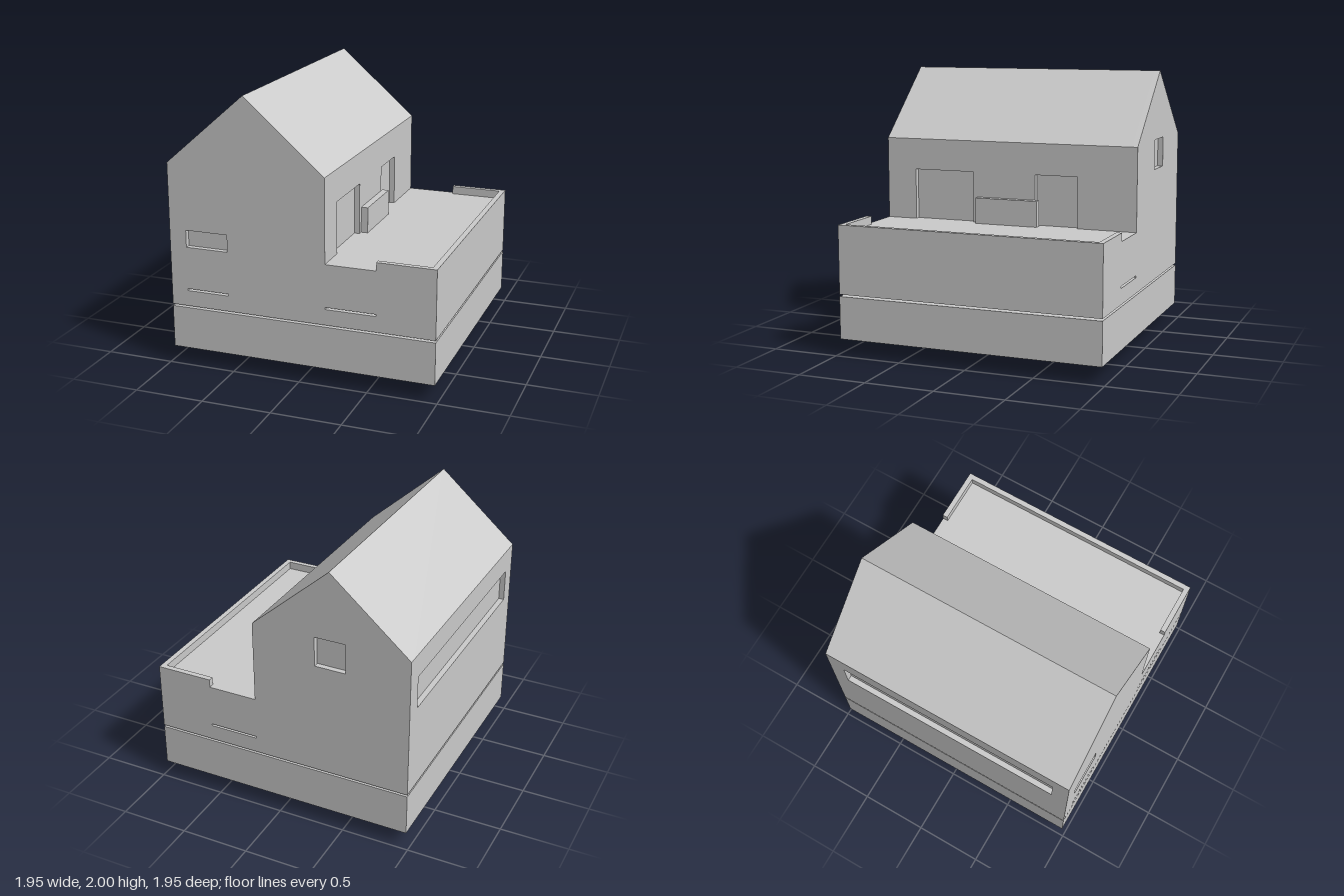
import * as THREE from 'three';

const H = 0.975;         // half of the square footprint
const T = 0.04;          // wall thickness, also the depth of window recesses
const IN = H - T;
const BASE = 0.445, FLOOR = 0.885, PARAPET = 0.945, EAVE = 1.49, TOP = 2;
const RIDGE_X = -0.39, WALL_X = 0.19, GAP_X = 0.555;

const material = new THREE.MeshStandardMaterial({ color: 0xcccccc, flatShading: true });

const points = (list) => list.map(([x, y]) => new THREE.Vector2(x, y));
const rect = ([x0, x1, y0, y1]) => new THREE.Path(points([[x0, y0], [x0, y1], [x1, y1], [x1, y0]]));

// Plate cut from an outline, with rectangular openings [x0, x1, y0, y1]
function plate(outline, openings, depth) {
  const shape = new THREE.Shape(points(outline));
  shape.holes = openings.map(rect);
  return new THREE.ExtrudeGeometry(shape, { depth, bevelEnabled: false });
}

export function createModel() {
  const group = new THREE.Group();

  const add = (name, geometry) => {
    const mesh = new THREE.Mesh(geometry, material);
    mesh.name = name;
    group.add(mesh);
  };
  const box = (name, x0, x1, y0, y1, z0, z1) => add(name,
    new THREE.BoxGeometry(x1 - x0, y1 - y0, z1 - z0)
      .translate((x0 + x1) / 2, (y0 + y1) / 2, (z0 + z1) / 2));

  // Lower storey with its connecting pegs
  box('bottomPeg', -0.24, 0.24, 0, 0.12, -0.24, 0.24);
  box('lowerBlock', -H, H, 0.12, 0.43, -H, H);
  box('joiningPeg', -0.24, 0.24, 0.43, BASE, -0.24, 0.24);

  // Solid core carrying the gable roof and terrace floor, with a slot right through
  const slot = [WALL_X, GAP_X, 0.56, 0.575];
  const core = [
    [-IN, BASE], [H, BASE], [H, FLOOR], [WALL_X - T, FLOOR], [WALL_X - T, EAVE],
    [WALL_X, EAVE], [RIDGE_X, TOP], [-H, EAVE], [-IN, EAVE],
  ];
  add('roofAndCore', plate(core, [slot], 2 * IN).translate(0, 0, -IN));

  // Gable ends, each continuing into the low terrace parapet
  const gable = [
    [-H, BASE], [H, BASE], [H, PARAPET], [GAP_X, PARAPET], [GAP_X, FLOOR],
    [WALL_X, FLOOR], [WALL_X, EAVE], [RIDGE_X, TOP], [-H, EAVE],
  ];
  const frontOpenings = [slot, [-0.85, -0.535, FLOOR, 1.01], [-0.85, -0.535, 0.56, 0.575]];
  const backOpenings = [slot, [-0.51, -0.28, 1.28, 1.5]];
  add('frontGable', plate(gable, frontOpenings, T).translate(0, 0, IN));
  add('backGable', plate(gable, backOpenings, T).translate(0, 0, -H));

  // Long side wall with a ribbon window
  const sideWall = [[-IN, BASE], [IN, BASE], [IN, EAVE], [-IN, EAVE]];
  add('ribbonWindowWall', plate(sideWall, [[-0.85, 0.85, 1.075, 1.315]], T)
    .rotateY(-Math.PI / 2).translate(-IN, 0, 0));

  // Terrace wall with two doorways notched up from the floor
  const doorTop = 1.26;
  const terraceWall = [[-IN, FLOOR]];
  for (const [z0, z1] of [[-0.535, -0.21], [0.275, 0.745]]) {
    terraceWall.push([z0, FLOOR], [z0, doorTop], [z1, doorTop], [z1, FLOOR]);
  }
  terraceWall.push([IN, FLOOR], [IN, EAVE], [-IN, EAVE]);
  add('terraceDoorWall', plate(terraceWall, [], T)
    .rotateY(-Math.PI / 2).translate(WALL_X, 0, 0));

  // Terrace edge and the block between the doors
  box('sideParapet', IN, H, FLOOR, PARAPET, -IN, IN);
  box('terraceBench', WALL_X, 0.24, FLOOR, 1.075, -0.24, 0.24);

  return group;
}
